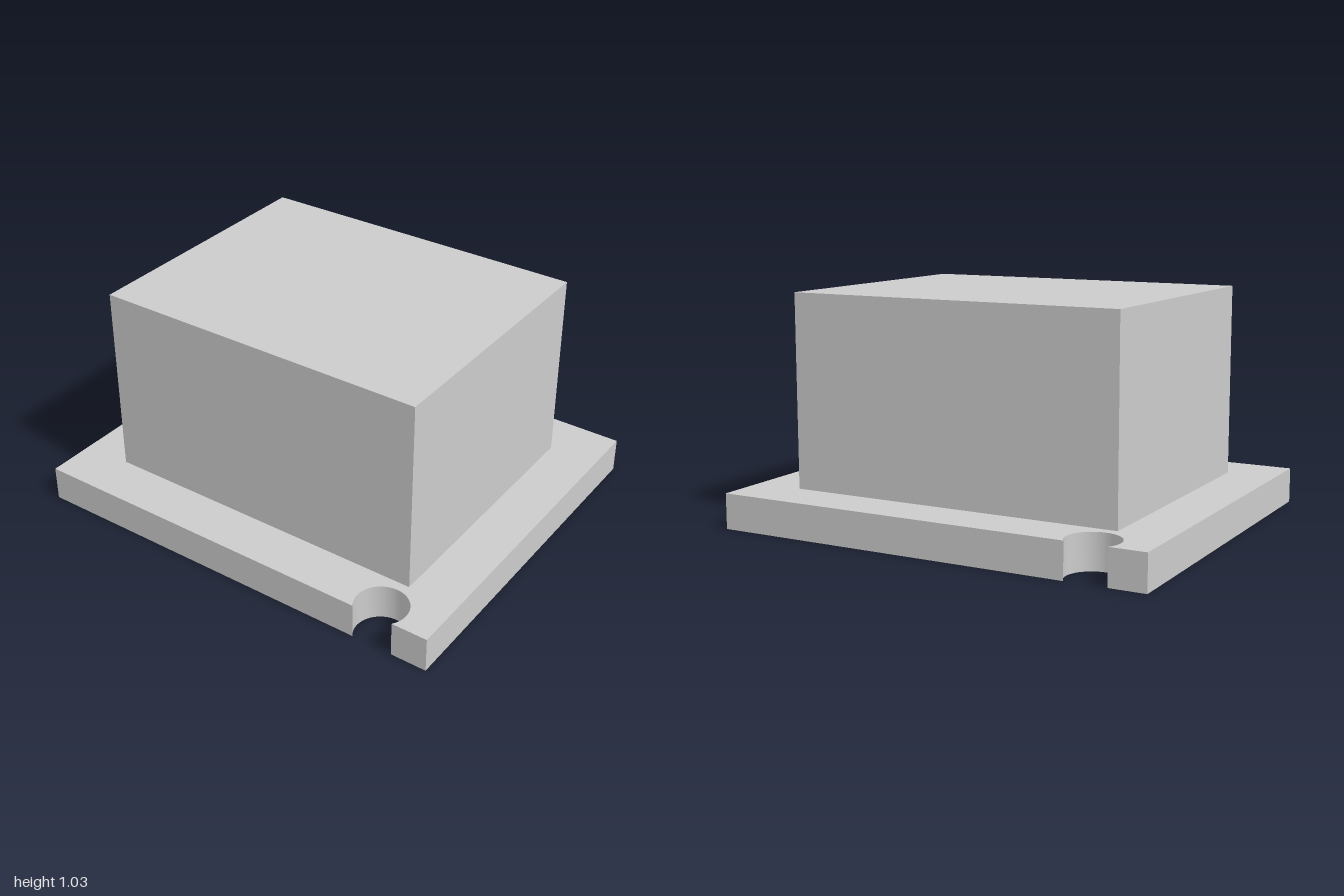
import * as THREE from 'three';
import { toCreasedNormals } from 'three/addons/utils/BufferGeometryUtils.js';

const material = new THREE.MeshStandardMaterial({ color: 0xcccccc });

// Loops are counter-clockwise lists of [x, z] points.
const toVectors = (loop) => loop.map(([x, z]) => new THREE.Vector2(x, z));

// Flat horizontal face at height y, optionally with a hole.
function cap(name, y, loop, hole, up) {
  const shape = new THREE.Shape(toVectors(loop));
  if (hole) shape.holes.push(new THREE.Path(toVectors(hole)));
  const geometry = new THREE.ShapeGeometry(shape);
  geometry.rotateX(Math.PI / 2).translate(0, y, 0);
  if (up) {
    geometry.setIndex(Array.from(geometry.index.array).reverse());
    geometry.computeVertexNormals();
  }
  const mesh = new THREE.Mesh(geometry, material);
  mesh.name = name;
  return mesh;
}

// Side walls joining a stack of [y, loop] sections.
function walls(name, sections, inward) {
  const positions = [];
  for (let s = 0; s < sections.length - 1; s++) {
    const [y0, low] = sections[s];
    const [y1, high] = sections[s + 1];
    low.forEach((p, i) => {
      const j = (i + 1) % low.length;
      const a = [p[0], y0, p[1]];
      const b = [low[j][0], y0, low[j][1]];
      const c = [high[j][0], y1, high[j][1]];
      const d = [high[i][0], y1, high[i][1]];
      const order = inward ? [a, b, c, a, c, d] : [a, c, b, a, d, c];
      order.forEach((v) => positions.push(...v));
    });
  }
  const geometry = new THREE.BufferGeometry();
  geometry.setAttribute('position', new THREE.Float32BufferAttribute(positions, 3));
  const mesh = new THREE.Mesh(toCreasedNormals(geometry, Math.PI / 6), material);
  mesh.name = name;
  return mesh;
}

function part(name, ...meshes) {
  const group = new THREE.Group();
  group.name = name;
  group.add(...meshes);
  return group;
}

// Flange outline: a rectangle with round screw notches at two opposite corners.
function flangeOutline() {
  const W = 0.84, L = 1, cx = 0.771, cz = -0.743, r = 0.116, steps = 32;
  const start = Math.acos((W - cx) / r);
  const half = [[-W, -L], [W, -L]];
  for (let i = 0; i <= steps; i++) {
    const t = -start - (i / steps) * 2 * (Math.PI - start);
    half.push([cx + r * Math.cos(t), cz + r * Math.sin(t)]);
  }
  // The second half is the first turned by 180 degrees
  return [...half, ...half.map(([x, z]) => [-x, -z])];
}

// T-shaped cavity: a wide rectangle with a narrower bay toward the front.
const cavityOutline = (X, Z) => [
  [-X, -Z], [X, -Z], [X, Z], [0.22, Z], [0.22, 0.63], [-0.22, 0.63], [-0.22, Z], [-X, Z],
];

export function createModel() {
  const flangeTop = 0.16, top = 1.03, ceiling = 0.87, chamfer = 0.115;
  const flange = flangeOutline();
  const block = [[-0.613, -0.773], [0.613, -0.773], [0.613, 0.773], [-0.613, 0.773]];
  const mouth = cavityOutline(0.508, 0.39);
  const throat = cavityOutline(0.383, 0.263);

  const model = new THREE.Group();
  model.name = 'flangedHousing';
  model.add(
    part('flange',
      cap('flangeBottom', 0, flange, mouth, false),
      walls('flangeSides', [[0, flange], [flangeTop, flange]], false),
      cap('flangeTop', flangeTop, flange, block, true)),
    part('housing',
      walls('housingSides', [[flangeTop, block], [top, block]], false),
      cap('housingTop', top, block, null, true)),
    // Chamfered mouth below, straight walls above
    part('cavity',
      walls('cavityWalls', [[0, mouth], [chamfer, throat], [ceiling, throat]], true),
      cap('cavityCeiling', ceiling, throat, null, false)),
  );
  return model;
}
